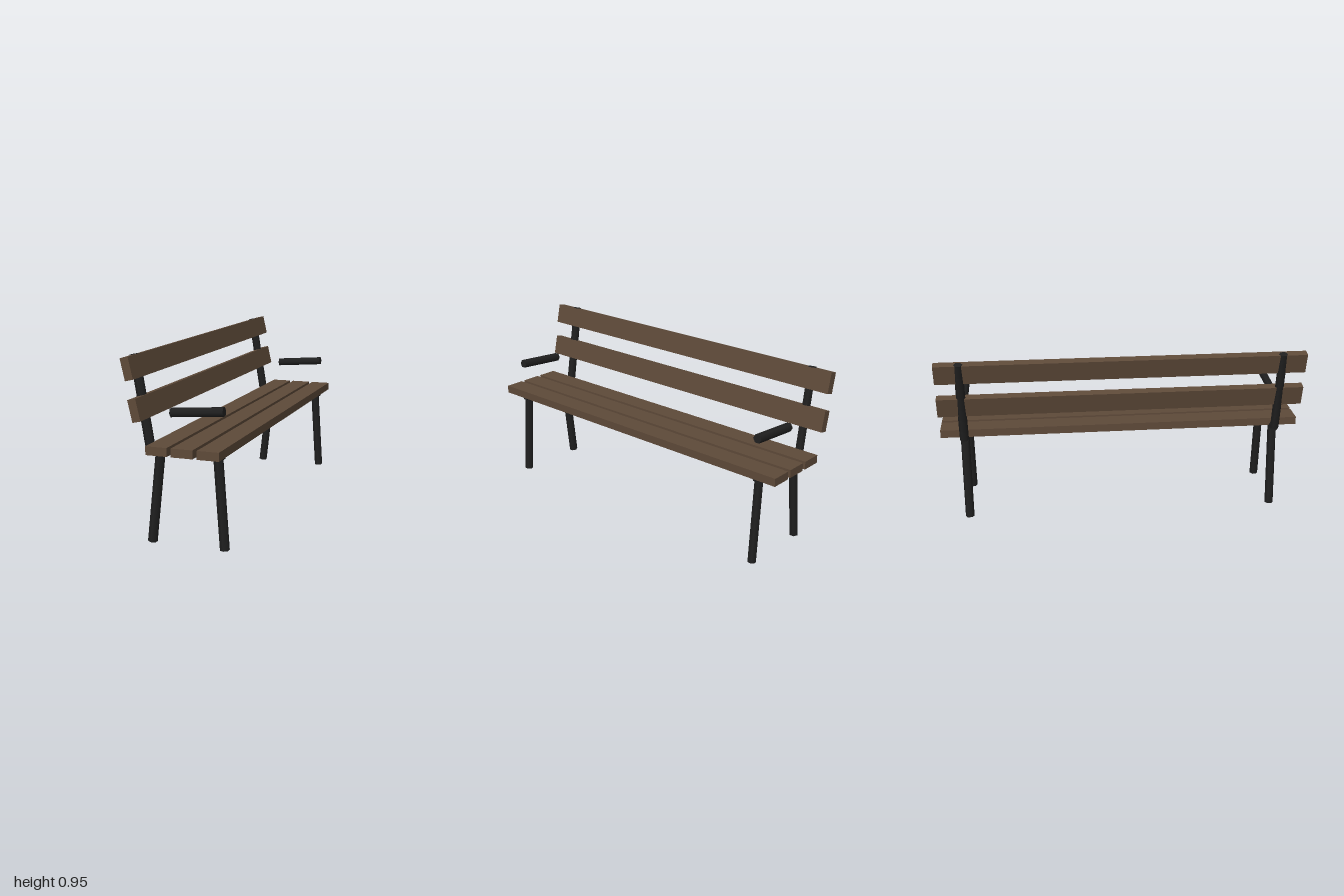
import * as THREE from 'three';

export function createModel() {
  const model = new THREE.Group();
  model.name = 'bench';

  const wood = new THREE.MeshStandardMaterial({ color: 0x5e4a39 });
  wood.name = 'brown wood';
  const metal = new THREE.MeshStandardMaterial({ color: 0x202020 });
  metal.name = 'black metal';

  // Six-sided bar between two points in the xy plane
  function bar(name, x1, y1, x2, y2) {
    const dx = x2 - x1, dy = y2 - y1;
    const mesh = new THREE.Mesh(
      new THREE.CylinderGeometry(0.0245, 0.0245, Math.hypot(dx, dy), 6), metal);
    mesh.name = name;
    mesh.position.set((x1 + x2) / 2, (y1 + y2) / 2, 0);
    mesh.rotation.z = Math.atan2(-dx, dy);
    return mesh;
  }

  // Plank running the full length of the bench
  const plankGeometry = new THREE.BoxGeometry(0.1115, 0.0435, 2);
  function plank(name, x, y, tilt) {
    const mesh = new THREE.Mesh(plankGeometry, wood);
    mesh.name = name;
    mesh.position.set(x, y, 0);
    mesh.rotation.z = tilt;
    model.add(mesh);
  }

  // Metal frame at each end
  for (const side of [-1, 1]) {
    const frame = new THREE.Group();
    frame.name = side < 0 ? 'rearEndFrame' : 'frontEndFrame';
    frame.position.z = side * 0.868;
    frame.add(
      bar('backLeg', -0.157, 0.0025, -0.103, 0.482),
      bar('frontLeg', 0.231, 0.0015, 0.198, 0.482),
      bar('seatRail', -0.157, 0.4815, 0.231, 0.4815),
      bar('backPost', -0.158, 0.483, -0.234, 0.947),
      bar('armrest', -0.045, 0.67, 0.231, 0.692)
    );
    model.add(frame);
  }

  // Seat planks
  for (let i = 0; i < 3; i++) plank('seatPlank' + (i + 1), -0.068 + i * 0.133, 0.504, 0);

  // Backrest planks, leaning back
  const lean = Math.PI / 2 + 0.224;
  plank('lowerBackPlank', -0.1795, 0.6935, lean);
  plank('upperBackPlank', -0.2135, 0.893, lean);

  return model;
}
